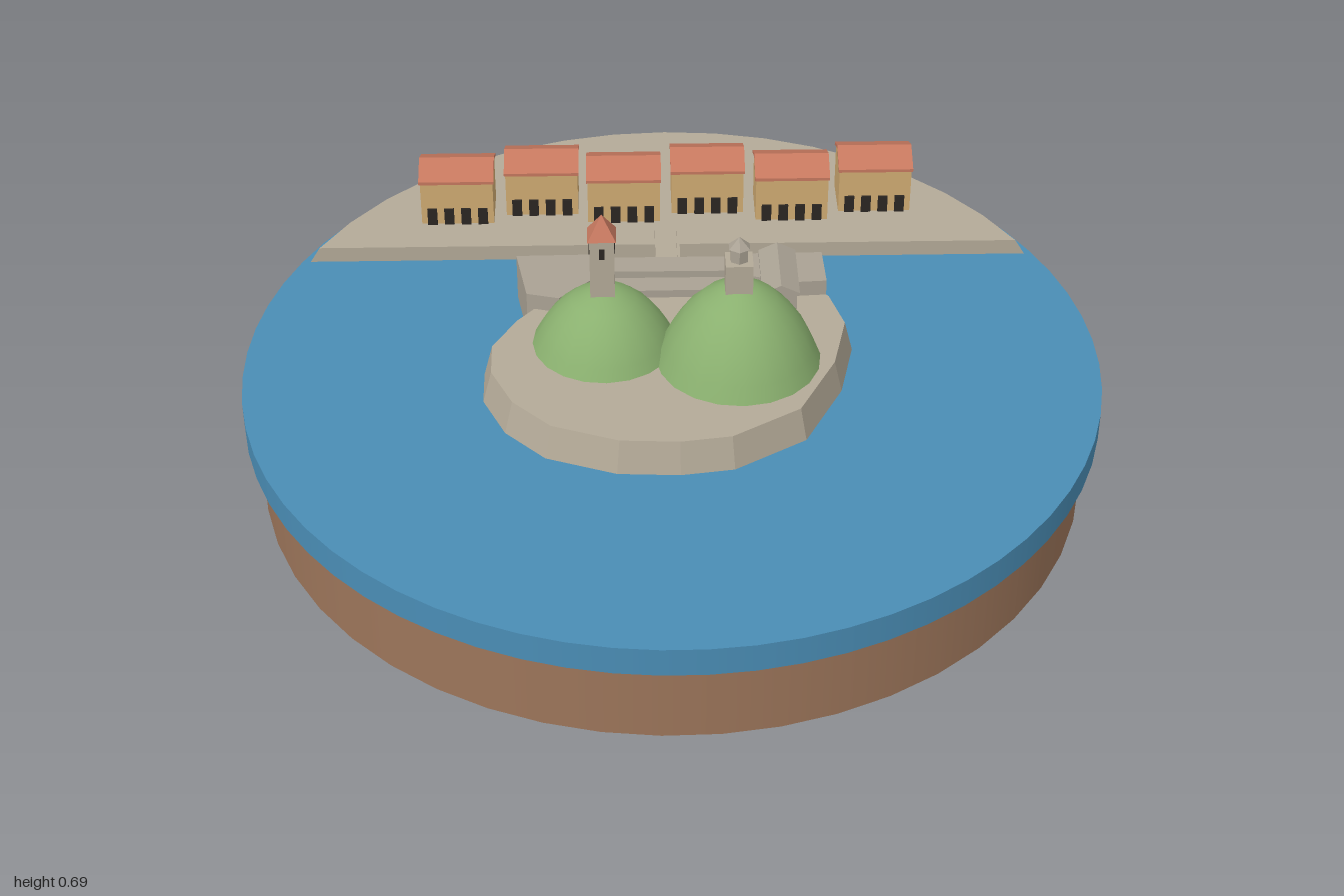
import * as THREE from 'three';

const mat = (name, color) => Object.assign(new THREE.MeshStandardMaterial({ color }), { name });
const M = {
  earth: mat('brown earth', 0x9c755a),
  water: mat('blue water', 0x4a8db5),
  stone: mat('pale stone', 0xb4aa98),
  fort: mat('grey stone', 0xaaa294),
  grass: mat('green grass', 0x8ab06f),
  wall: mat('ochre plaster', 0xd0ab72),
  roof: mat('terracotta', 0xc6785f),
  dark: mat('dark opening', 0x2b2622),
};
const TILT = -Math.PI / 9; // the shore runs 20 degrees off the x axis

function add(parent, name, geometry, material, x = 0, y = 0, z = 0, turn = 0) {
  const mesh = new THREE.Mesh(geometry, material);
  mesh.name = name;
  mesh.position.set(x, y, z);
  mesh.rotation.y = turn;
  parent.add(mesh);
  return mesh;
}

// Flat-faced solid between two [x, z] outlines with equal point counts
function prism(bottom, top, y0, y1) {
  const area = bottom.reduce((s, [x, z], i) => {
    const [u, w] = bottom[(i + 1) % bottom.length];
    return s + x * w - u * z;
  }, 0);
  if (area > 0) { bottom = [...bottom].reverse(); top = [...top].reverse(); }
  const mid = (pts, y) => [
    pts.reduce((s, p) => s + p[0], 0) / pts.length, y,
    pts.reduce((s, p) => s + p[1], 0) / pts.length];
  const c0 = mid(bottom, y0), c1 = mid(top, y1), v = [];
  for (let i = 0; i < bottom.length; i++) {
    const j = (i + 1) % bottom.length;
    const a = [bottom[i][0], y0, bottom[i][1]], b = [bottom[j][0], y0, bottom[j][1]];
    const c = [top[j][0], y1, top[j][1]], d = [top[i][0], y1, top[i][1]];
    v.push(...a, ...b, ...c, ...a, ...c, ...d, ...c1, ...d, ...c, ...c0, ...b, ...a);
  }
  const g = new THREE.BufferGeometry();
  g.setAttribute('position', new THREE.Float32BufferAttribute(v, 3));
  g.computeVertexNormals();
  return g;
}

// Profile of [z, y] points extruded along x, centred
function alongX(points, length) {
  const shape = new THREE.Shape(points.map(([z, y]) => new THREE.Vector2(-z, y)));
  return new THREE.ExtrudeGeometry(shape, { depth: length, bevelEnabled: false })
    .translate(0, 0, -length / 2).rotateY(Math.PI / 2);
}

// Walls with gables, capped by a thin folded roof
function gabled(parent, name, w, d, eave, ridge, wallMat, roofMat) {
  const g = new THREE.Group();
  g.name = name;
  const h = d / 2, o = h + 0.006, t = 0.008;
  add(g, name + 'Walls', alongX([[-h, 0], [h, 0], [h, eave], [0, ridge], [-h, eave]], w), wallMat);
  add(g, name + 'Roof', alongX([[-o, eave - 0.003], [0, ridge], [o, eave - 0.003],
    [o, eave + t - 0.003], [0, ridge + t], [-o, eave + t - 0.003]], w + 0.006), roofMat);
  parent.add(g);
  return g;
}

// Arc cut off by the straight waterfront
function shoreOutline(r) {
  const half = Math.acos(0.424 / r), pts = [];
  for (let i = 0; i <= 16; i++) {
    const a = -Math.PI * 7 / 18 - half + (2 * half * i) / 16;
    pts.push([r * Math.cos(a), r * Math.sin(a)]);
  }
  return pts;
}

export function createModel() {
  const model = new THREE.Group();
  model.name = 'harbourIsland';

  // Round base and sea
  add(model, 'earthBase', new THREE.CylinderGeometry(0.97, 0.97, 0.2, 48), M.earth, 0, 0.1);
  add(model, 'sea', new THREE.CylinderGeometry(1, 1, 0.07, 64), M.water, 0, 0.235);

  // Mainland quay
  add(model, 'quay', prism(shoreOutline(0.985), shoreOutline(0.96), 0.265, 0.31), M.stone);

  // Island with sloping banks
  const shore = [[-.465, 0], [-.455, .13], [-.40, .25], [-.27, .36], [-.14, .415], [-.02, .44],
    [.17, .40], [.32, .26], [.41, .12], [.42, 0], [.36, -.13], [.25, -.22], [.1, -.29],
    [-.02, -.315], [-.17, -.28], [-.34, -.18], [-.43, -.1]];
  const bank = shore.map(([x, z]) => [-0.02 + (x + 0.02) * 0.95, 0.06 + (z - 0.06) * 0.95]);
  add(model, 'island', prism(shore, bank, 0.265, 0.35), M.stone);

  // Grassy hills, flared at the foot
  const hillProfile = [[1, 0], [.91, .2], [.81, .4], [.65, .63], [.45, .83], [.22, .96], [0, 1]];
  for (const [name, x, z, r, h] of [['westHill', -.16, -.02, .167, .145], ['eastHill', .105, .15, .19, .2]]) {
    const pts = hillProfile.map(([a, b]) => new THREE.Vector2(a * r, b * h));
    add(model, name, new THREE.LatheGeometry(pts, 20), M.grass, x, 0.348, z);
  }

  // Bell tower on the west hill
  const bell = new THREE.Group();
  bell.name = 'bellTower';
  bell.position.set(-0.16, 0.46, -0.025);
  bell.rotation.y = TILT;
  add(bell, 'bellShaft', new THREE.BoxGeometry(0.056, 0.18, 0.056), M.stone, 0, 0.09);
  const spire = new THREE.ConeGeometry(0.046, 0.055, 4).toNonIndexed();
  spire.computeVertexNormals();
  add(bell, 'bellSpire', spire, M.roof, 0, 0.206, 0, Math.PI / 4);
  for (let i = 0; i < 4; i++) {
    const a = i * Math.PI / 2;
    add(bell, 'bellOpening', new THREE.BoxGeometry(0.012, 0.028, 0.004), M.dark,
      Math.sin(a) * 0.028, 0.145, Math.cos(a) * 0.028, a);
  }
  model.add(bell);

  // Stone keep with lantern on the east hill
  const keep = new THREE.Group();
  keep.name = 'keep';
  keep.position.set(0.105, 0.52, 0.145);
  keep.rotation.y = TILT;
  add(keep, 'keepBlock', new THREE.BoxGeometry(0.062, 0.095, 0.062), M.stone, 0, 0.0475);
  const drum = (r0, r1, h) => {
    const g = new THREE.CylinderGeometry(r0, r1, h, 6).toNonIndexed();
    g.computeVertexNormals();
    return g;
  };
  add(keep, 'lantern', drum(0.022, 0.022, 0.035), M.fort, 0, 0.112);
  add(keep, 'lanternCap', drum(0, 0.027, 0.026), M.fort, 0, 0.142);
  model.add(keep);

  // Fort: two angular bastions joined by a curtain wall and inner walk
  const block = (name, pts, y0, y1) => add(model, name, prism(pts, pts, y0, y1), M.fort);
  block('westBastion', [[-.257, -.37], [-.055, -.30], [-.10, -.22], [-.22, -.165], [-.285, -.21]], 0.265, 0.39);
  block('eastBastion', [[.235, -.19], [.433, -.12], [.395, -.005], [.31, -.03], [.22, -.1]], 0.265, 0.39);
  block('curtainWall', [[-.11, -.307], [.28, -.165], [.245, -.112], [-.12, -.247]], 0.3, 0.388);
  block('innerWalk', [[-.20, -.275], [.245, -.113], [.225, -.065], [-.215, -.22]], 0.34, 0.37);
  add(model, 'gate', new THREE.BoxGeometry(0.045, 0.05, 0.006), M.dark, 0.085, 0.352, -0.237, TILT);

  // Gatehouse lodge
  const lodge = gabled(model, 'lodge', 0.175, 0.075, 0.1, 0.118, M.fort, M.fort);
  lodge.position.set(0.267, 0.348, 0.003);
  lodge.rotation.y = TILT + Math.PI / 2;

  // Bridge from quay to gate
  const bridge = new THREE.Group();
  bridge.name = 'bridge';
  bridge.position.set(0.115, 0.325, -0.325);
  bridge.rotation.y = TILT;
  add(bridge, 'bridgeDeck', new THREE.BoxGeometry(0.06, 0.014, 0.19), M.stone);
  for (const s of [-1, 1]) {
    add(bridge, 'bridgeRail', new THREE.BoxGeometry(0.007, 0.016, 0.19), M.stone, s * 0.0265, 0.013);
  }
  model.add(bridge);

  // Staggered row of waterfront houses with arcades
  const plots = [[-.29, -.735], [-.08, -.697], [.10, -.592], [.31, -.555], [.495, -.45], [.705, -.412]];
  for (const [x, z] of plots) {
    const house = gabled(model, 'house', 0.18, 0.124, 0.122, 0.15, M.wall, M.roof);
    house.position.set(x, 0.308, z);
    house.rotation.y = TILT;
    for (let i = 0; i < 4; i++) {
      add(house, 'archway', new THREE.BoxGeometry(0.024, 0.045, 0.008), M.dark, -0.063 + i * 0.042, 0.0245, 0.0635);
    }
  }
  return model;
}
